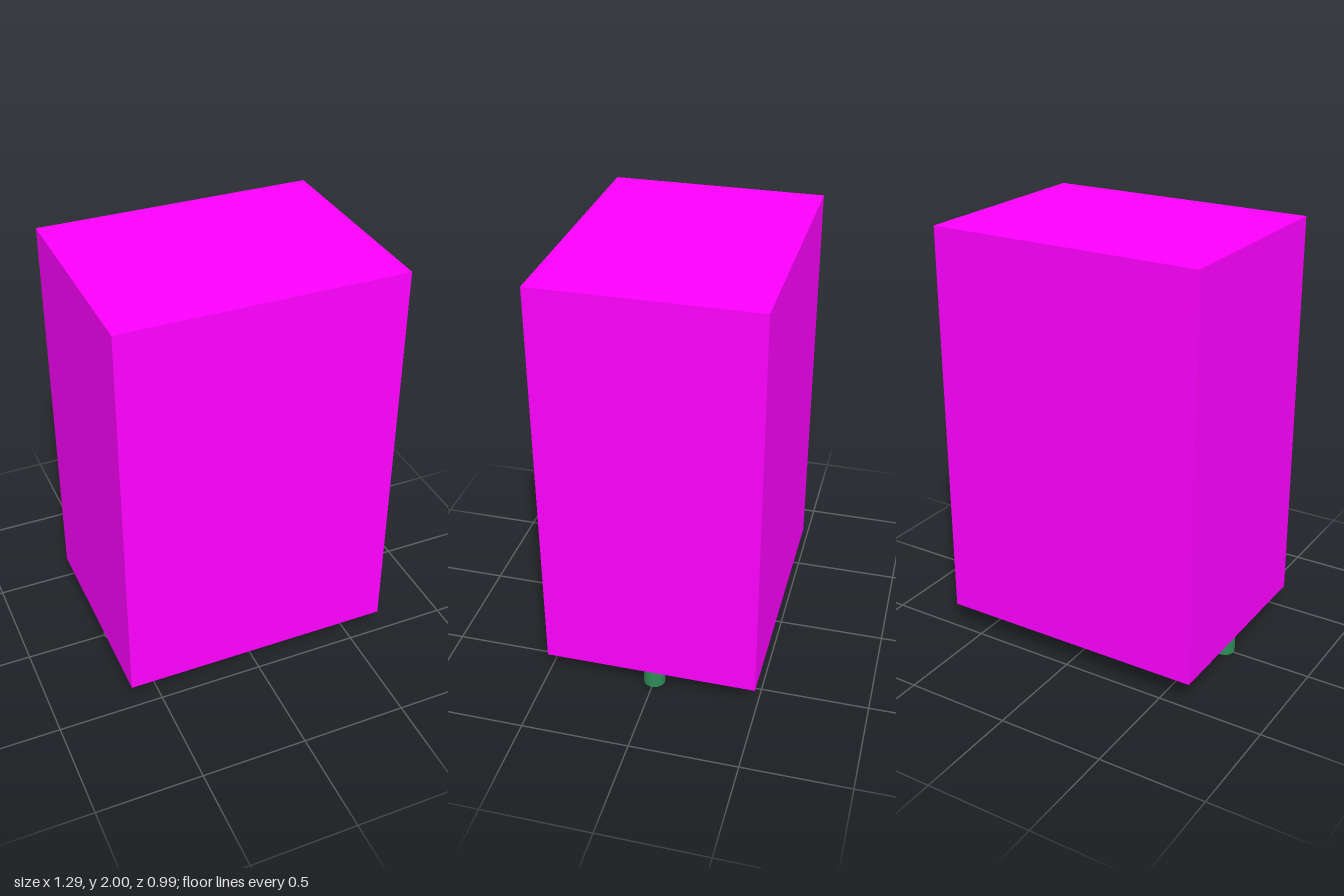
import * as THREE from 'three';

const TOP = 2;
const BODY_BOTTOM = 0.12;

function addPart(group, name, geometry, material, x, y, z) {
  const mesh = new THREE.Mesh(geometry, material);
  mesh.name = name;
  mesh.position.set(x, y, z);
  group.add(mesh);
}

export function createModel() {
  const group = new THREE.Group();
  group.name = 'panelOnPosts';
  const magenta = new THREE.MeshStandardMaterial({ color: 0xff00ff });
  const green = new THREE.MeshStandardMaterial({ color: 0x2e8b57 });

  // Solid body raised off the ground
  const height = TOP - BODY_BOTTOM;
  addPart(group, 'body', new THREE.BoxGeometry(1.29, height, 0.99), magenta,
    0, BODY_BOTTOM + height / 2, 0);

  // Two round posts running up inside the body, showing below it as feet
  const postHeight = TOP - 0.002;
  const post = new THREE.CylinderGeometry(0.05, 0.05, postHeight, 32);
  addPart(group, 'leftPost', post, green, 0.562, postHeight / 2, 0);
  addPart(group, 'rightPost', post, green, -0.568, postHeight / 2, 0);

  return group;
}
